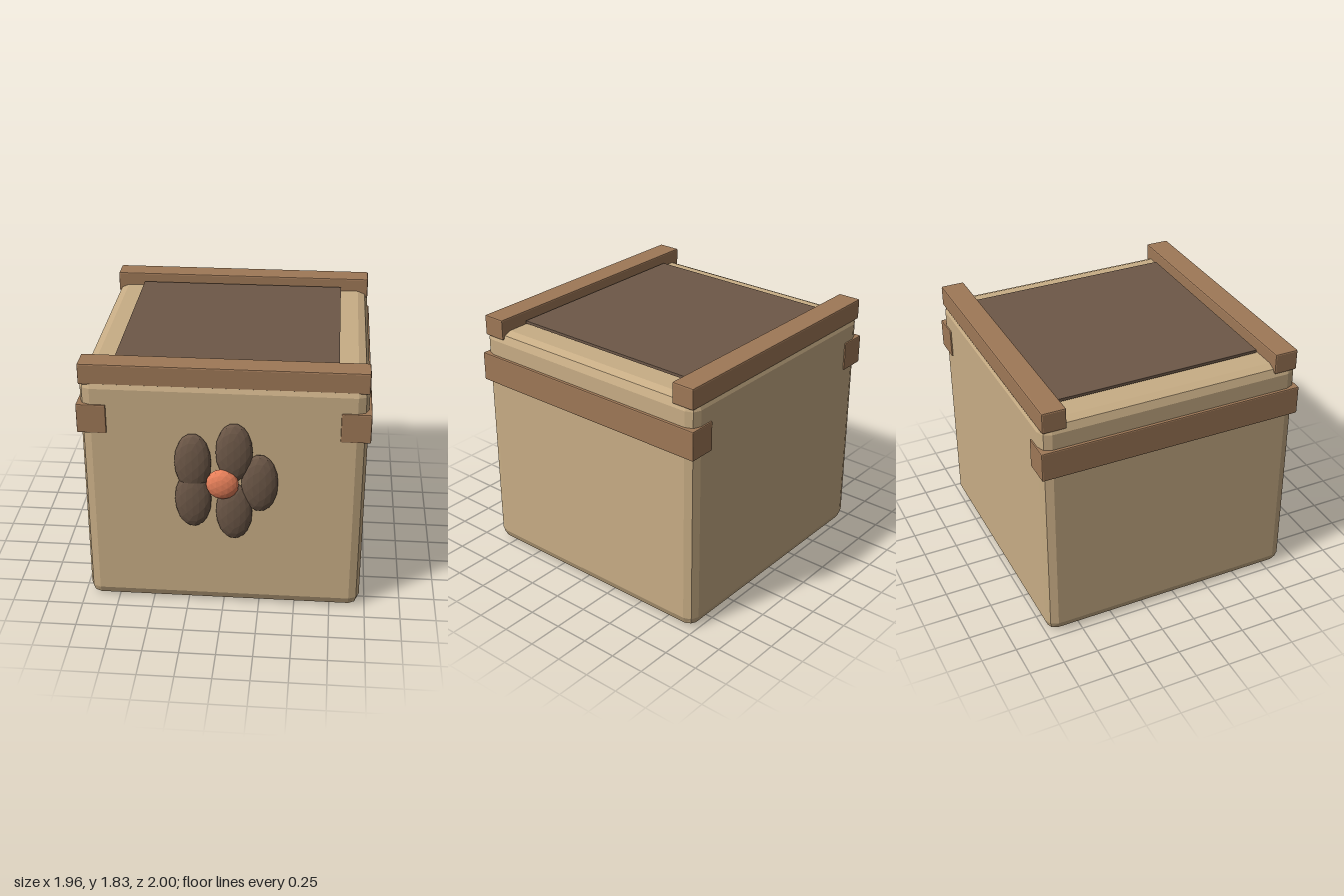
import * as THREE from 'three';
import { RoundedBoxGeometry } from 'three/addons/geometries/RoundedBoxGeometry.js';

const material = (color) => new THREE.MeshStandardMaterial({ color, flatShading: true });

export function createModel() {
  const group = new THREE.Group();
  const tan = material(0xc8ad85);
  const wood = material(0x9e7857);
  const dark = material(0x6d5848);
  const orange = material(0xe8805a);

  const add = (name, geometry, mat, x, y, z) => {
    const mesh = new THREE.Mesh(geometry, mat);
    mesh.name = name;
    mesh.position.set(x, y, z);
    group.add(mesh);
    return mesh;
  };
  const box = (w, h, d, r) => new RoundedBoxGeometry(w, h, d, 1, r);

  // Main box with softly bevelled edges
  add('body', box(1.92, 1.728, 1.88, 0.075), tan, 0, 0.864, -0.047);

  // Rails across the front and back of the top
  add('frontRail', box(1.92, 0.15, 0.17, 0.01), wood, 0, 1.75, 0.795);
  add('backRail', box(1.92, 0.15, 0.17, 0.01), wood, 0, 1.75, -0.895);

  // Straps along both sides, wrapping just past the front and back
  for (const side of [-1, 1]) {
    add(side > 0 ? 'leftStrap' : 'rightStrap', box(0.2, 0.21, 1.9, 0.008), wood, side * 0.88, 1.435, -0.048);
  }

  // Thin panel hovering over the top
  add('topPanel', new THREE.BoxGeometry(1.51, 0.02, 1.47), dark, 0, 1.756, -0.05);

  // Flower on the front: upright petals set in a ring around a centre
  const bead = new THREE.IcosahedronGeometry(1, 2);
  for (let i = 0; i < 5; i++) {
    const a = (i * Math.PI * 2) / 5;
    add('petal', bead, dark, 0.25 * Math.cos(a), 1 + 0.24 * Math.sin(a), 0.91).scale.set(0.126, 0.22, 0.056);
  }
  add('flowerCentre', bead, orange, 0, 1, 0.943).scale.set(0.112, 0.112, 0.057);

  return group;
}
